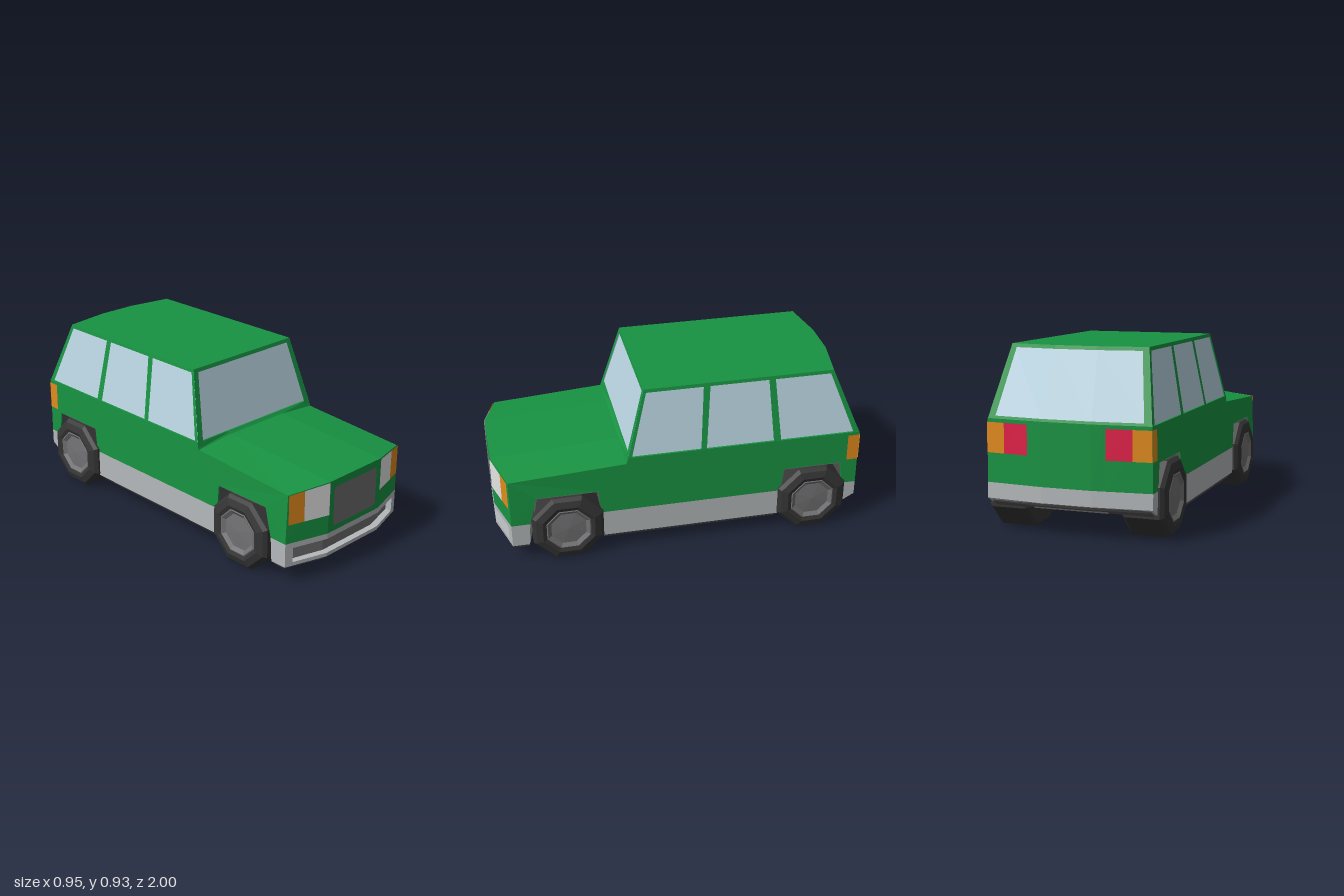
import * as THREE from 'three';

const mat = (name, color) => {
  const m = new THREE.MeshStandardMaterial({ color, side: THREE.DoubleSide });
  m.name = name;
  return m;
};
const lerp = THREE.MathUtils.lerp;
const clamp = THREE.MathUtils.clamp;

// Plan curvature: the nose and the tail both bow back towards the corners
const noseK = x => clamp((Math.abs(x) - 0.2) / 0.235, 0, 1);
const tailK = x => clamp((Math.abs(x) - 0.13) / 0.305, 0, 1);
const noseZ = x => 1 - 0.07 * noseK(x);
const tailZ = x => -1 + 0.03 * tailK(x);
// Flanks lean in slightly above the sill
const lean = y => 1 - 0.0375 * Math.max(0, y - 0.25);

// Flat-shaded grid of quads; keep(i, j) can leave window openings
function sheet(us, vs, fn, keep = () => true) {
  const pos = [];
  for (let i = 0; i < us.length - 1; i++) {
    for (let j = 0; j < vs.length - 1; j++) {
      if (!keep(i, j)) continue;
      const a = fn(us[i], vs[j]), b = fn(us[i + 1], vs[j]);
      const c = fn(us[i + 1], vs[j + 1]), d = fn(us[i], vs[j + 1]);
      pos.push(...a, ...b, ...c, ...a, ...c, ...d);
    }
  }
  const g = new THREE.BufferGeometry();
  g.setAttribute('position', new THREE.Float32BufferAttribute(pos, 3));
  g.computeVertexNormals();
  return g;
}

// Side profile of [z, y] points swept across the car, then bowed at the ends
const STATIONS = [-1, -0.46, -0.3, 0.3, 0.46, 1];
function sweep(profile, half) {
  const shape = new THREE.Shape(profile.map(p => new THREE.Vector2(...p)));
  const g = new THREE.ExtrudeGeometry(shape, { depth: 5, steps: 5, bevelEnabled: false });
  g.rotateY(-Math.PI / 2);
  const p = g.attributes.position;
  for (let i = 0; i < p.count; i++) {
    let x = STATIONS[clamp(Math.round(p.getX(i) + 5), 0, 5)] * half;
    let y = p.getY(i), z = p.getZ(i);
    if (z > 0.3 && y > 0.5) y -= 0.02 * noseK(x);
    if (z > 0.9) z -= 0.07 * noseK(x);
    else if (z < -0.95) z += 0.03 * tailK(x);
    x *= lean(y);
    if (z > 0.9 && y > 0.4) x *= 0.985;
    if (y < 0.08) x *= 0.92; // chamfered underside
    p.setXYZ(i, x, y, z);
  }
  g.computeVertexNormals();
  return g;
}

export function createModel() {
  const car = new THREE.Group();
  car.name = 'car';
  const green = mat('green paint', 0x189342);
  const glass = mat('window glass', 0xbad5e2);
  const silver = mat('light grey trim', 0xb5b9bb);
  const grey = mat('mid grey', 0x737274);
  const chassis = mat('chassis grey', 0x565656);
  const dark = mat('dark rubber', 0x353535);
  const white = mat('headlight white', 0xe6e6e6);
  const orange = mat('indicator orange', 0xe28b1c);
  const red = mat('tail light red', 0xe22048);

  const add = (name, geometry, material, parent = car) => {
    const m = new THREE.Mesh(geometry, material);
    m.name = name;
    parent.add(m);
    return m;
  };

  // Painted lower body with wheel arch cut-outs
  add('hood', sweep([
    [1, 0.23], [1, 0.515], [0.31, 0.555], [0.31, 0.25],
    [0.45, 0.25], [0.46, 0.385], [0.79, 0.385], [0.825, 0.25], [0.83, 0.23],
  ], 0.435), green);
  add('body', sweep([
    [0.31, 0.25], [0.31, 0.555], [0.296, 0.57], [-1, 0.57], [-1, 0.25],
    [-0.893, 0.25], [-0.875, 0.385], [-0.555, 0.385], [-0.54, 0.25],
  ], 0.435), green);

  // Front bumper: two bars and end blocks around a recessed intake
  add('frontBumperTop', sweep([[0.829, 0.23], [0.833, 0.2], [1, 0.2], [1, 0.23]], 0.435), silver);
  add('frontBumperBottom', sweep([[0.837, 0.12], [0.84, 0.1], [1, 0.1], [1, 0.12]], 0.435), silver);
  add('bumperIntake', sweep([[0.87, 0.2], [0.87, 0.12], [0.965, 0.12], [0.965, 0.2]], 0.42), grey);
  for (const s of [1, -1]) {
    const end = [[0.392, 0.9], [0.392, noseZ(0.392)], [0.435, 0.93], [0.435, 0.835]];
    add('frontBumperEnd', sheet([0, 1, 2, 3], [0.12, 0.2],
      (i, y) => [s * end[i][0], y, end[i][1]]), silver);
  }

  // Sill band and rear bumper, with the chassis beneath
  add('sillBand', sweep([[0.45, 0.25], [-0.54, 0.25], [-0.529, 0.1], [0.438, 0.1]], 0.435), silver);
  add('rearBumper', sweep([[-0.893, 0.25], [-1, 0.25], [-1, 0.17], [-0.91, 0.135]], 0.435), silver);
  add('frontBase', sweep([[0.84, 0.1], [0.84, 0.063], [0.96, 0.063], [1, 0.1]], 0.435), chassis);
  add('sillBase', sweep([[0.438, 0.1], [-0.529, 0.1], [-0.52, 0.063], [0.435, 0.063]], 0.435), chassis);
  add('rearBase', sweep([[-0.91, 0.16], [-0.91, 0.125], [-0.975, 0.15], [-0.985, 0.17]], 0.42), chassis);
  add('floor', sweep([
    [0.89, 0.064], [-0.52, 0.064], [-0.94, 0.13], [-0.94, 0.2], [0.89, 0.2],
  ], 0.195), chassis);

  // Wheel wells
  const core = add('wheelWellCore', new THREE.BoxGeometry(0.37, 0.33, 1.74), chassis);
  core.position.set(0, 0.345, -0.01);
  const arches = [
    [[0.437, 0.08], [0.463, 0.381], [0.787, 0.381], [0.836, 0.08]],
    [[-0.53, 0.08], [-0.558, 0.381], [-0.872, 0.381], [-0.908, 0.13]],
  ];
  for (const arch of arches) {
    for (const s of [1, -1]) {
      add('wheelWellLiner', sheet([0, 1, 2, 3], [0.18, 1], (i, x) => {
        const [z, y] = arch[i];
        return [s * (x < 1 ? x : y < 0.2 ? 0.41 : 0.431), y, z];
      }), chassis);
    }
  }

  // Eight-sided wheels
  const turned = pts => {
    const g = new THREE.LatheGeometry(pts.map(p => new THREE.Vector2(...p)), 8, Math.PI / 8)
      .rotateZ(-Math.PI / 2).toNonIndexed();
    g.computeVertexNormals();
    return g;
  };
  const tyre = turned([[0, 0.25], [0.19, 0.25], [0.205, 0.265], [0.205, 0.445],
    [0.188, 0.463], [0.15, 0.475], [0.128, 0.468]]);
  const hub = turned([[0.13, 0.466], [0.122, 0.47], [0.1, 0.456], [0, 0.462]]);
  for (const [end, z] of [['front', 0.63], ['rear', -0.715]]) {
    for (const s of [1, -1]) {
      const wheel = new THREE.Group();
      wheel.name = end + (s > 0 ? 'LeftWheel' : 'RightWheel');
      add('tyre', tyre, dark, wheel);
      add('hub', hub, grey, wheel);
      wheel.position.set(0, 0.19, z);
      if (s < 0) wheel.rotation.y = Math.PI;
      car.add(wheel);
    }
  }

  // Cabin sides: leaning pillars around three windows, glass set slightly inside
  const low = [0.3, 0.28, -0.092, -0.122, -0.49, -0.53, -0.938, -0.97];
  const high = [0.2, 0.184, -0.116, -0.152, -0.465, -0.5, -0.797, -0.82];
  const sideAt = (s, inset) => (i, v) =>
    [s * (lerp(0.43, 0.362, v) - inset), lerp(0.565, 0.93, v), lerp(low[i], high[i], v)];
  const posts = low.map((_, i) => i);
  for (const s of [1, -1]) {
    const side = s > 0 ? 'left' : 'right';
    add(side + 'WindowFrame', sheet(posts, [0, 0.95, 1], sideAt(s, 0),
      (i, j) => j === 1 || i % 2 === 0), green);
    add(side + 'Windows', sheet(posts, [0, 0.97], sideAt(s, 0.01)), glass);
  }

  // Windscreen
  const screenAt = inset => (u, v) =>
    [u * lerp(0.435, 0.362, v), lerp(0.53, 0.93, v), lerp(0.31, 0.2, v) - inset];
  add('windscreenFrame', sheet([-1, -0.915, 0.915, 1], [0, 0.09, 0.95, 1], screenAt(0),
    (i, j) => !(i === 1 && j === 1)), green);
  add('windscreen', sheet([-0.96, 0.96], [0.05, 0.98], screenAt(0.01)), glass);

  // Curved rear window
  const rearAt = inset => (u, v) => {
    const k = clamp((Math.abs(u) - 0.3) / 0.7, 0, 1);
    return [u * lerp(0.43, 0.362, v), lerp(0.565, 0.93, v),
      lerp(-1, -0.86, v) + lerp(0.03, 0.04, v) * k + inset];
  };
  add('rearWindowFrame', sheet([-1, -0.91, -0.3, 0.3, 0.91, 1], [0, 0.05, 0.95, 1], rearAt(0),
    (i, j) => j !== 1 || i === 0 || i === 4), green);
  add('rearWindow', sheet([-0.97, -0.3, 0.3, 0.97], [0.01, 0.98], rearAt(0.01)), glass);

  // Roof, following the curve of the rear window
  add('roof', sheet([-1, -0.3, 0.3, 1], [0, 1], (u, v) => {
    const back = rearAt(0)(u, 1);
    return [back[0], 0.93, lerp(back[2], 0.2, v)];
  }), green);

  // Lamps, laid on the curved nose and tail
  const nosePlate = s => (x, v) =>
    [s * x, lerp(0.335, 0.512 - 0.017 * noseK(x), v), noseZ(x) + 0.004];
  const tailPlate = s => (x, v) => [s * x, lerp(0.4, 0.552, v), tailZ(x) - 0.004];
  for (const s of [1, -1]) {
    add('headlight', sheet([0.198, 0.2, 0.338], [0, 1], nosePlate(s)), white);
    add('frontIndicator', sheet([0.338, 0.424], [0, 1], nosePlate(s)), orange);
    add('tailLight', sheet([0.205, 0.335], [0, 1], tailPlate(s)), red);
    add('rearIndicator', sheet([0.335, 0.432], [0, 1], tailPlate(s)), orange);
    add('rearSideIndicator', sheet([-0.97, -0.908], [0.4, 0.552],
      (z, y) => [s * (0.435 * lean(y) + 0.002), y, z]), orange);
  }

  // Rounded radiator grille
  const w = 0.165, b = 0.262, t = 0.477, r = 0.018;
  const grille = new THREE.Shape();
  grille.moveTo(-w + r, b).lineTo(w - r, b);
  grille.quadraticCurveTo(w, b, w, b + r).lineTo(w, t - r);
  grille.quadraticCurveTo(w, t, w - r, t).lineTo(-w + r, t);
  grille.quadraticCurveTo(-w, t, -w, t - r).lineTo(-w, b + r);
  grille.quadraticCurveTo(-w, b, -w + r, b);
  add('grille', new THREE.ShapeGeometry(grille, 3), grey).position.z = 1.004;

  return car;
}
